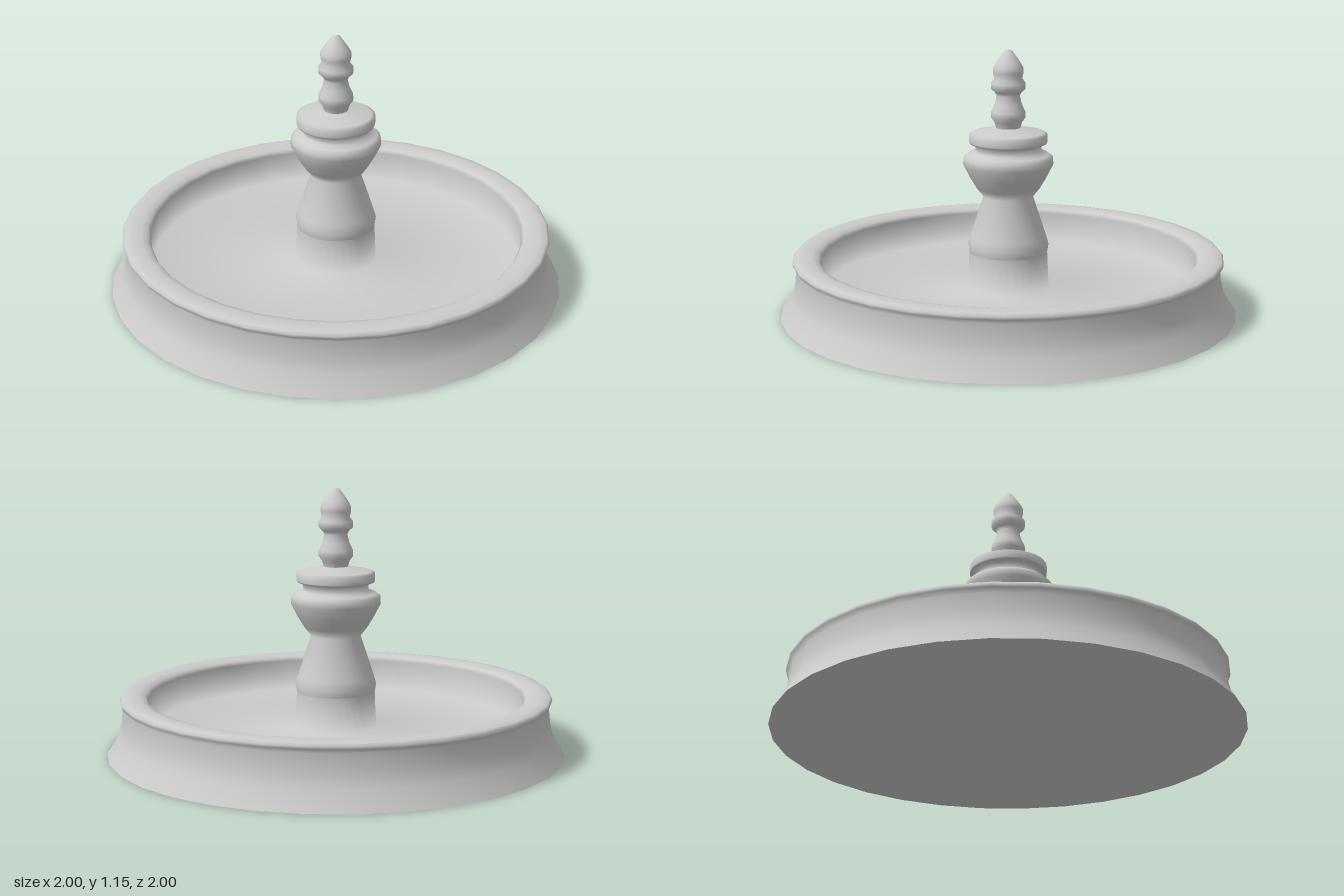
import * as THREE from 'three';

const SIDES = 32;
const material = new THREE.MeshStandardMaterial({ color: 0xcccccc });

// Smooth turned part; profile points are [radius, height], ordered bottom to top on the outside
function turned(name, profile) {
  const points = profile.map(([r, y]) => new THREE.Vector2(r, y));
  const mesh = new THREE.Mesh(new THREE.LatheGeometry(points, SIDES), material);
  mesh.name = name;
  return mesh;
}

export function createModel() {
  const group = new THREE.Group();
  group.name = 'fountain';

  // Basin: flared foot, rounded rim, inner wall, floor and the plinth rising from it
  group.add(turned('basin', [
    [1, 0], [0.95, 0.08], [0.935, 0.14], [0.927, 0.22], [0.94, 0.238],
    [0.942, 0.25], [0.932, 0.262], [0.9, 0.266], [0.86, 0.264],
    [0.832, 0.256], [0.82, 0.24], [0.82, 0.1], [0.178, 0.105], [0.171, 0.265],
  ]));

  // Flat underside
  const underside = new THREE.Mesh(new THREE.CircleGeometry(1, SIDES), material);
  underside.name = 'underside';
  underside.rotation.x = Math.PI / 2;
  group.add(underside);

  // Pedestal: tapered shaft, swelling bowl and stepped cap
  group.add(turned('pedestal', [
    [0.171, 0.265], [0.177, 0.298], [0.166, 0.335], [0.108, 0.512],
    [0.138, 0.55], [0.168, 0.6], [0.196, 0.655], [0.194, 0.685], [0.178, 0.7],
    [0.143, 0.71], [0.143, 0.742], [0.167, 0.748], [0.17, 0.755],
    [0.17, 0.787], [0.155, 0.795], [0.053, 0.815],
  ]));

  // Finial: two rings, a bud and a pointed tip
  group.add(turned('finial', [
    [0.053, 0.815], [0.06, 0.84], [0.075, 0.86], [0.074, 0.885], [0.058, 0.92],
    [0.05, 0.955], [0.058, 0.97], [0.074, 0.985], [0.075, 1.01], [0.06, 1.028],
    [0.066, 1.055], [0.066, 1.075], [0.052, 1.1], [0.018, 1.148], [0, 1.155],
  ]));

  return group;
}
